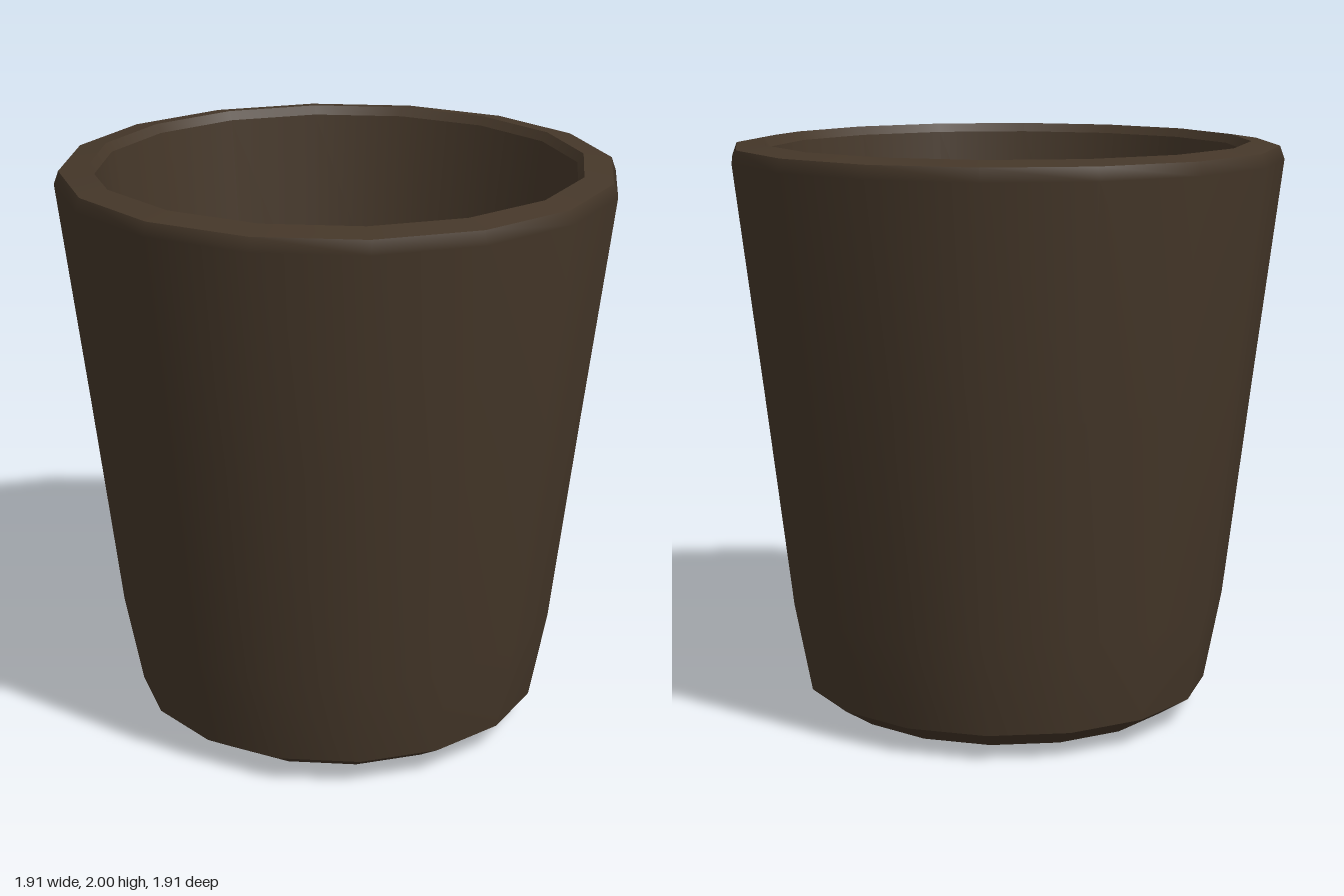
import * as THREE from 'three';

const SIDES = 16;

export function createModel() {
  const cup = new THREE.Group();
  cup.name = 'cup';
  const material = new THREE.MeshStandardMaterial({ color: 0x453729 });

  // Each band is smooth within itself; a hard edge falls where bands meet.
  // Profiles run from the base centre, up the outside, over the rim and down inside.
  const bands = {
    base: [[0, 0], [0.36, 0.01], [0.6, 0.025]],
    baseBevel: [[0.6, 0.025], [0.71, 0.095]],
    outerWall: [[0.71, 0.095], [0.77, 0.41], [0.86, 1.17], [0.954, 1.94], [0.938, 1.985]],
    rim: [[0.938, 1.985], [0.84, 2]],
    rimBevel: [[0.84, 2], [0.82, 1.97]],
    innerWall: [[0.82, 1.97], [0.72, 1.13], [0.62, 0.29]],
    floor: [[0.62, 0.29], [0, 0.29]],
  };

  for (const [name, profile] of Object.entries(bands)) {
    const points = profile.map(([r, y]) => new THREE.Vector2(r, y));
    const mesh = new THREE.Mesh(new THREE.LatheGeometry(points, SIDES), material);
    mesh.name = name;
    cup.add(mesh);
  }
  return cup;
}
